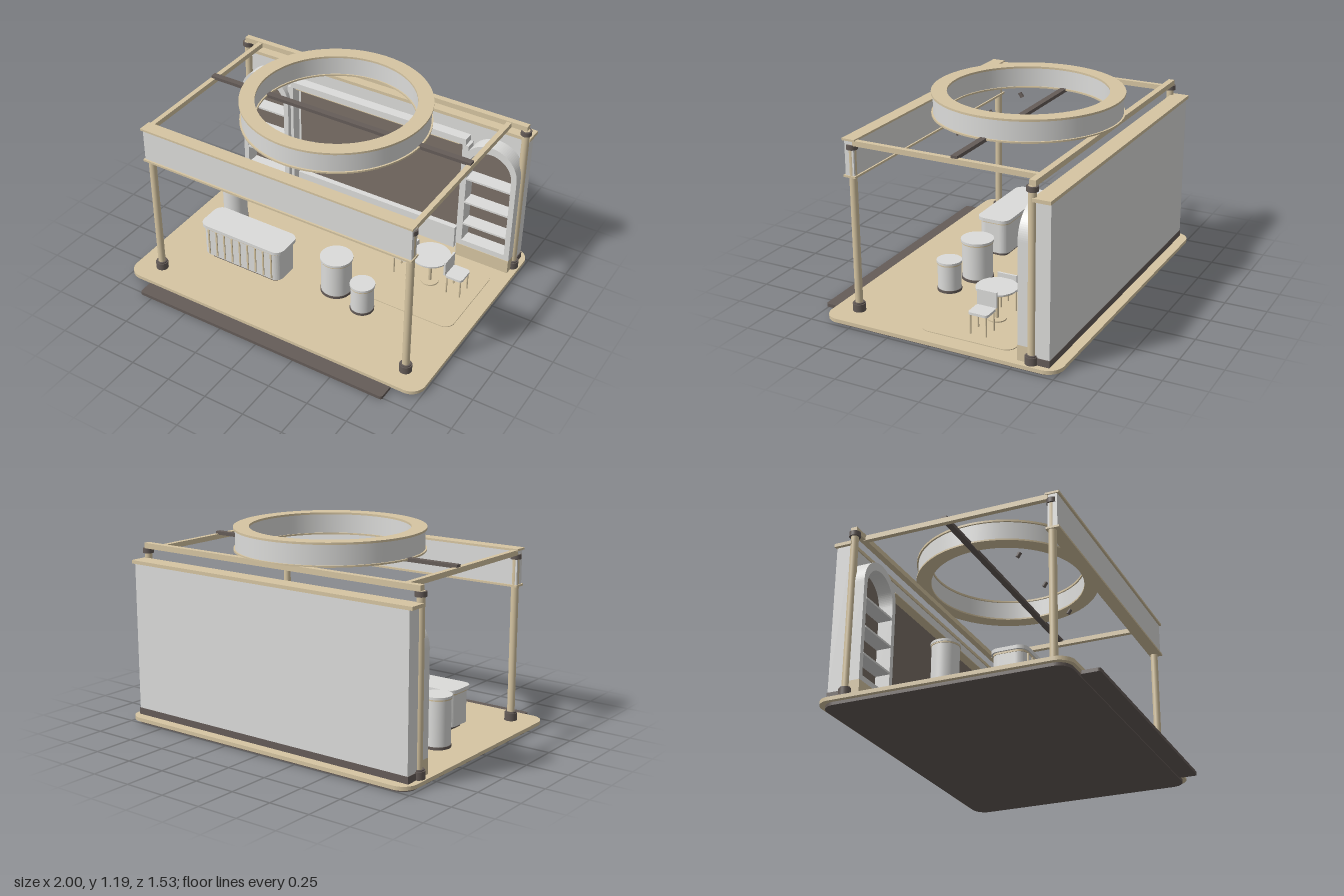
import * as THREE from 'three';

const mat = (name, color) => Object.assign(new THREE.MeshStandardMaterial({ color }), { name });

export function createModel() {
  const beige = mat('warm sand', 0xd6c5a2);
  const white = mat('soft white', 0xdcdcda);
  const dark = mat('dark bronze', 0x655c58);
  const panel = mat('taupe panel', 0x7a7067);
  const root = new THREE.Group();
  root.name = 'pavilion';

  // Helpers: boxes are given by their limits, cylinders by centre and height range
  const add = (name, geo, m, parent = root) => {
    const mesh = new THREE.Mesh(geo, m);
    mesh.name = name;
    parent.add(mesh);
    return mesh;
  };
  const box = (name, m, x0, x1, y0, y1, z0, z1, parent) => add(name,
    new THREE.BoxGeometry(x1 - x0, y1 - y0, z1 - z0)
      .translate((x0 + x1) / 2, (y0 + y1) / 2, (z0 + z1) / 2), m, parent);
  const cyl = (name, m, x, z, y0, y1, r, parent, seg = 32) => add(name,
    new THREE.CylinderGeometry(r, r, y1 - y0, seg).translate(x, (y0 + y1) / 2, z), m, parent);
  const slab = (name, m, x0, x1, y0, y1, z0, z1, r, parent) => {
    const s = new THREE.Shape();
    s.moveTo(x0 + r, -z1);
    s.lineTo(x1 - r, -z1).absarc(x1 - r, -z1 + r, r, -Math.PI / 2, 0);
    s.lineTo(x1, -z0 - r).absarc(x1 - r, -z0 - r, r, 0, Math.PI / 2);
    s.lineTo(x0 + r, -z0).absarc(x0 + r, -z0 - r, r, Math.PI / 2, Math.PI);
    s.lineTo(x0, -z1 + r).absarc(x0 + r, -z1 + r, r, Math.PI, Math.PI * 1.5);
    const g = new THREE.ExtrudeGeometry(s, { depth: y1 - y0, bevelEnabled: false, curveSegments: 10 });
    return add(name, g.rotateX(-Math.PI / 2).translate(0, y0, 0), m, parent);
  };
  const group = (name) => {
    const g = new THREE.Group();
    g.name = name;
    root.add(g);
    return g;
  };

  // Floor
  slab('platformBase', dark, -0.975, 0.975, 0, 0.018, -0.745, 0.65, 0.08);
  slab('platformFloor', beige, -1, 1, 0.018, 0.04, -0.77, 0.67, 0.09);
  slab('frontStep', dark, -0.83, 0.83, 0, 0.02, 0.655, 0.765, 0.015);
  slab('rug', beige, 0.24, 0.9, 0.04, 0.045, -0.46, 0.11, 0.06);

  // Back wall with framed centre panel
  box('wallSkirting', dark, -0.965, 0.965, 0.04, 0.08, -0.712, -0.62);
  box('backWall', white, -0.96, 0.96, 0.08, 0.95, -0.71, -0.62);
  box('wallCap', beige, -0.98, 0.98, 0.95, 0.97, -0.717, -0.613);
  box('centrePanel', panel, -0.57, 0.57, 0.19, 0.83, -0.62, -0.612);
  box('lowerPanel', white, -0.57, 0.57, 0.04, 0.19, -0.62, -0.575);
  box('panelHeader', white, -0.61, 0.61, 0.83, 0.87, -0.62, -0.555);
  box('headerTrim', beige, -0.57, 0.57, 0.825, 0.83, -0.62, -0.553);

  // Arched shelf niches
  const archPath = (path, w, y0, yc) => {
    path.moveTo(-w, y0);
    path.lineTo(w, y0);
    path.lineTo(w, yc);
    path.absarc(0, yc, w, 0, Math.PI);
    path.lineTo(-w, y0);
    return path;
  };
  for (const side of [-1, 1]) {
    const g = group(side > 0 ? 'leftNiche' : 'rightNiche');
    g.position.x = side * 0.785;
    box('panelJamb', white, -side * 0.175 - 0.02, -side * 0.175 + 0.02, 0.04, 0.83, -0.62, -0.555, g);
    box('nicheBase', beige, -0.175, 0.175, 0.04, 0.13, -0.62, -0.522, g);
    const arch = archPath(new THREE.Shape(), 0.175, 0.13, 0.715);
    arch.holes.push(archPath(new THREE.Path(), 0.142, 0.165, 0.7));
    add('nicheArch', new THREE.ExtrudeGeometry(arch, { depth: 0.095, bevelEnabled: false, curveSegments: 24 })
      .translate(0, 0, -0.62), white, g);
    add('nicheBack', new THREE.ExtrudeGeometry(archPath(new THREE.Shape(), 0.144, 0.16, 0.7),
      { depth: 0.006, bevelEnabled: false, curveSegments: 24 }).translate(0, 0, -0.619), panel, g);
    for (const y of [0.285, 0.445, 0.615]) box('shelf', white, -0.143, 0.143, y, y + 0.012, -0.615, -0.523, g);
  }

  // Posts with dark feet and collars
  for (const side of [-1, 1]) {
    for (const [x, z, end] of [[0.845, 0.527, 'front'], [0.955, -0.605, 'back']]) {
      const g = group(end + 'Post');
      g.position.set(side * x, 0, z);
      cyl('postShaft', beige, 0, 0, 0.04, 1.03, 0.022, g);
      cyl('postFoot', dark, 0, 0, 0.04, 0.085, 0.037, g);
      cyl('postFootRing', dark, 0, 0, 0.085, 0.093, 0.031, g);
      cyl('postCollar', dark, 0, 0, 1.0, 1.028, 0.032, g);
    }
    box('sideRail', beige, side * 0.852 - 0.015, side * 0.852 + 0.015, 1.025, 1.055, -0.605, 0.51);
  }
  box('backRail', beige, -0.965, 0.965, 1.028, 1.06, -0.627, -0.59);

  // Front fascia
  box('fascia', white, -0.865, 0.865, 0.85, 1.05, 0.507, 0.562);
  box('fasciaTopTrim', beige, -0.872, 0.872, 1.05, 1.062, 0.495, 0.575);
  box('fasciaBottomTrim', beige, -0.872, 0.872, 0.84, 0.852, 0.497, 0.573);

  // Roof ring
  const ring = (name, m, r0, r1, y0, y1) => {
    const pts = [[r0, y0], [r1, y0], [r1, y1], [r0, y1], [r0, y0]];
    // Each wall is turned separately so that the edges stay sharp
    for (let i = 0; i < 4; i++) {
      const g = new THREE.LatheGeometry(pts.slice(i, i + 2).map((p) => new THREE.Vector2(...p)), 72);
      add(name, g.translate(0, 0, -0.107), m);
    }
  };
  ring('roofRing', white, 0.468, 0.54, 1.068, 1.18);
  ring('ringTopLip', beige, 0.46, 0.55, 1.18, 1.192);
  ring('ringBottomLip', beige, 0.46, 0.55, 1.058, 1.068);
  box('crossBeam', dark, -0.862, 0.862, 1.05, 1.07, -0.127, -0.09);

  // Small tilted spotlights
  for (const x of [-0.39, 0, 0.39]) {
    const lamp = cyl('spotlight', dark, 0, 0, -0.016, 0.016, 0.012, root, 16);
    lamp.position.set(x, 1.015, 0.135);
    lamp.rotation.x = 0.6;
  }

  // Service counter with slatted front
  const counter = group('counter');
  slab('counterPlinth', dark, -0.67, -0.17, 0.04, 0.07, 0.13, 0.28, 0.04, counter);
  slab('counterBody', white, -0.7, -0.145, 0.065, 0.262, 0.11, 0.3, 0.05, counter);
  slab('counterBand', beige, -0.703, -0.142, 0.255, 0.266, 0.107, 0.303, 0.05, counter);
  slab('counterTop', white, -0.712, -0.13, 0.266, 0.287, 0.1, 0.312, 0.055, counter);
  for (let i = 0; i < 9; i++) {
    const x = -0.65 + i * 0.0565;
    box('counterSlat', beige, x - 0.005, x + 0.005, 0.075, 0.255, 0.298, 0.306, counter);
  }

  // Round display plinths
  for (const [x, z, r, h] of [[-0.757, -0.125, 0.081, 0.34], [0.16, 0.143, 0.098, 0.29], [0.377, 0.21, 0.074, 0.228]]) {
    const g = group('displayPlinth');
    g.position.set(x, 0, z);
    cyl('plinthFoot', dark, 0, 0, 0.04, 0.056, r * 0.97, g, 48);
    cyl('plinthBody', white, 0, 0, 0.056, h - 0.02, r * 0.93, g, 48);
    cyl('plinthBand', beige, 0, 0, h - 0.022, h - 0.014, r * 0.97, g, 48);
    cyl('plinthTop', white, 0, 0, h - 0.014, h, r, g, 48);
  }

  // Cafe table
  const table = group('table');
  table.position.set(0.597, 0, -0.215);
  cyl('tableFoot', beige, 0, 0, 0.045, 0.053, 0.055, table);
  cyl('tableStem', beige, 0, 0, 0.05, 0.23, 0.01, table, 16);
  cyl('tableRim', beige, 0, 0, 0.228, 0.233, 0.113, table, 48);
  cyl('tableTop', white, 0, 0, 0.233, 0.242, 0.118, table, 48);

  // Two mirrored chairs
  for (const side of [-1, 1]) {
    const g = group('chair');
    g.position.set(0.597 + side * 0.178, 0, -0.218);
    slab('chairSeat', white, -0.056, 0.056, 0.163, 0.178, -0.06, 0.06, 0.02, g);
    const bx = -side * 0.058;
    box('chairBack', white, bx - 0.006, bx + 0.006, 0.175, 0.268, -0.06, 0.06, g);
    for (const x of [-0.044, 0.044]) for (const z of [-0.048, 0.048]) {
      cyl('chairLeg', beige, x, z, 0.042, 0.165, 0.005, g, 10);
    }
  }
  return root;
}
